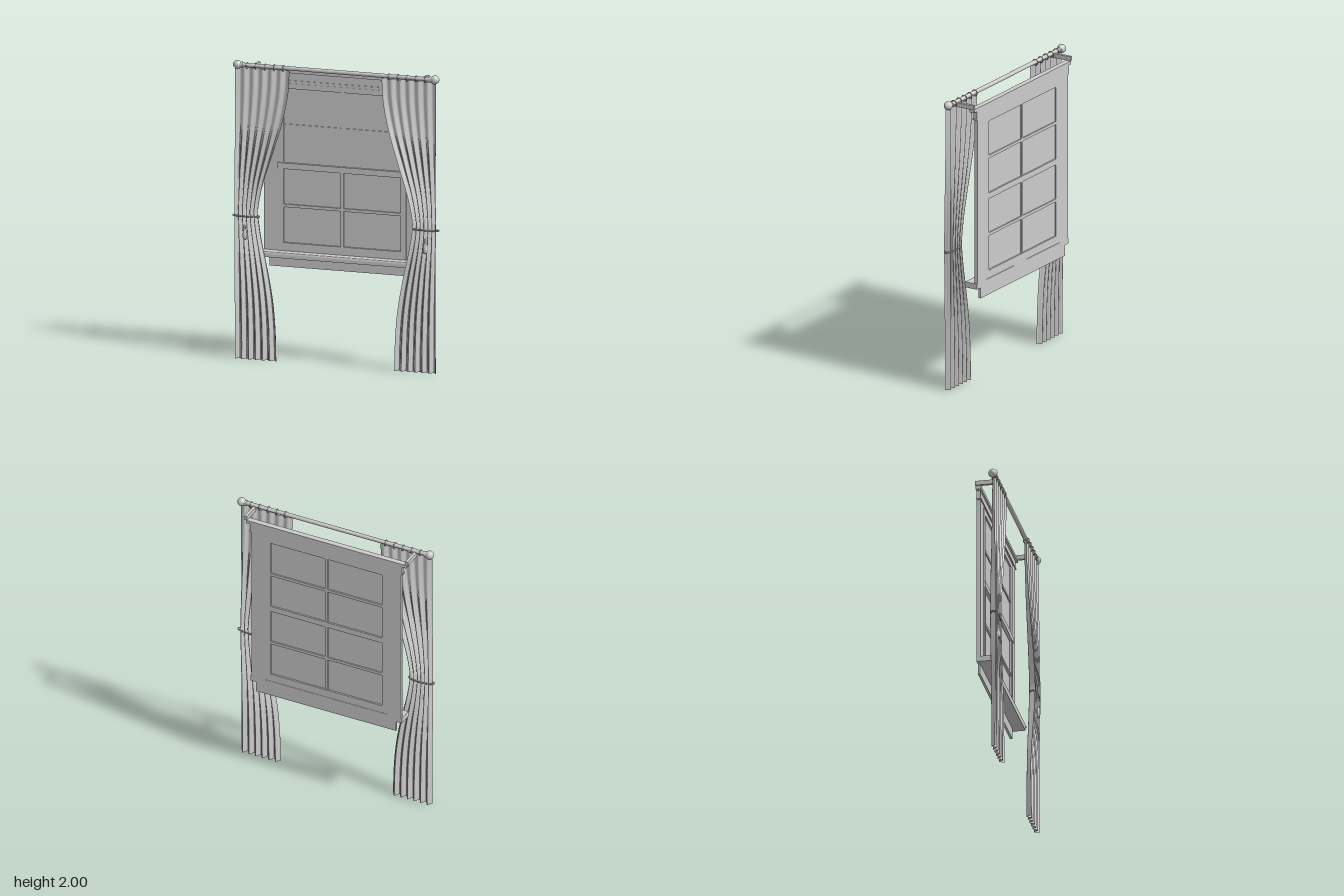
import * as THREE from 'three';

export function createModel() {
  const model = new THREE.Group();
  const grey = new THREE.MeshStandardMaterial({ color: 0xcccccc, side: THREE.DoubleSide });
  grey.name = 'plain grey';

  const add = (name, geometry, parent = model) => {
    const mesh = new THREE.Mesh(geometry, grey);
    mesh.name = name;
    parent.add(mesh);
    return mesh;
  };
  const group = (name) => {
    const g = new THREE.Group();
    g.name = name;
    model.add(g);
    return g;
  };
  // Box given by its limits on each axis
  const box = (name, x0, x1, y0, y1, z0, z1, parent) =>
    add(name, new THREE.BoxGeometry(x1 - x0, y1 - y0, z1 - z0)
      .translate((x0 + x1) / 2, (y0 + y1) / 2, (z0 + z1) / 2), parent);
  const lathe = (pts, segments) =>
    new THREE.LatheGeometry(pts.map(([r, y]) => new THREE.Vector2(r, y)), segments);

  const back = -0.088;

  // Casing, head and sill
  const surround = group('window surround');
  for (const s of [-1, 1]) {
    box('side casing', s > 0 ? 0.45 : -0.55, s > 0 ? 0.55 : -0.45, 0.72, 1.86, back, -0.062, surround);
  }
  box('top casing', -0.45, 0.45, 1.845, 1.86, back, -0.062, surround);
  box('head frieze', -0.56, 0.56, 1.86, 1.915, back, -0.062, surround);
  box('head cap', -0.59, 0.59, 1.915, 1.938, back, -0.05, surround);
  box('head bead', -0.565, 0.565, 1.855, 1.865, back, -0.057, surround);
  box('sill', -0.557, 0.557, 0.682, 0.72, back, 0.006, surround);
  const nose = new THREE.CylinderGeometry(0.019, 0.019, 1.114, 12, 1, false, 0, Math.PI);
  nose.rotateZ(Math.PI / 2).scale(1, 1, 0.4).translate(0, 0.701, 0.006);
  add('sill nose', nose, surround);
  box('apron', -0.515, 0.515, 0.61, 0.682, back, -0.072, surround);

  // Two sashes, each a frame with holes, a cross of glazing bars and a glass sheet
  const sash = (name, y0, y1, glass0, glass1, z0, z1) => {
    const g = group(name);
    const rect = (Type, w, a, b) => new Type([[-w, a], [w, a], [w, b], [-w, b]]
      .map(([x, y]) => new THREE.Vector2(x, y)));
    const frame = rect(THREE.Shape, 0.45, y0, y1);
    frame.holes.push(rect(THREE.Path, 0.41, glass0, glass1));
    add('sash frame', new THREE.ExtrudeGeometry(frame, { depth: z1 - z0, bevelEnabled: false })
      .translate(0, 0, z0), g);
    const mid = (glass0 + glass1) / 2;
    box('upright glazing bar', -0.01, 0.01, glass0, glass1, z0 + 0.002, z1 - 0.004, g);
    box('cross glazing bar', -0.41, 0.41, mid - 0.01, mid + 0.01, z0 + 0.002, z1 - 0.004, g);
    box('glass', -0.415, 0.415, glass0 - 0.005, glass1 + 0.005, -0.075, -0.071, g);
  };
  sash('upper sash', 1.29, 1.845, 1.31, 1.808, -0.086, -0.06);
  sash('lower sash', 0.72, 1.29, 0.775, 1.27, -0.086, -0.055);
  box('meeting rail', -0.45, 0.45, 1.27, 1.31, -0.086, -0.05);

  // Curtain rod with finials, rings and wall brackets
  const rodY = 1.97, rodZ = 0.051;
  add('curtain rod', new THREE.CylinderGeometry(0.014, 0.014, 1.34, 20)
    .rotateZ(Math.PI / 2).translate(0, rodY, rodZ));

  const finialProfile = [[0.014, 0.655], [0.02, 0.657], [0.02, 0.664], [0.016, 0.667],
    [0.025, 0.676], [0.03, 0.69], [0.028, 0.702], [0.02, 0.713], [0.009, 0.72], [0, 0.724]];

  // Inner edge of a curtain, from top to bottom
  const innerEdge = new THREE.SplineCurve([[0.323, 1.955], [0.332, 1.8], [0.373, 1.6],
    [0.435, 1.4], [0.5, 1.2], [0.535, 1.05], [0.541, 0.96], [0.515, 0.8], [0.47, 0.6],
    [0.435, 0.4], [0.418, 0.2], [0.413, 0]].map(([x, y]) => new THREE.Vector2(x, y)));
  const outerEdge = 0.704, folds = 6;

  const curtainGeometry = (s) => {
    const geo = new THREE.PlaneGeometry(1, 1, folds * 14, 55);
    const pos = geo.attributes.position;
    for (let i = 0; i < pos.count; i++) {
      const u = pos.getX(i) + 0.5;
      const across = s > 0 ? 1 - u : u;
      const edge = innerEdge.getPoint(0.5 - pos.getY(i));
      const width = outerEdge - edge.x;
      // Folds deepen where the cloth is gathered
      const depth = 0.03 - 0.05 * width;
      pos.setXYZ(i, s * (outerEdge - across * width), edge.y,
        0.053 + depth * Math.cos(across * folds * Math.PI * 2));
    }
    geo.computeVertexNormals();
    return geo;
  };

  const tasselProfile = [[0, 0.803], [0.009, 0.805], [0.014, 0.82], [0.015, 0.838],
    [0.011, 0.862], [0.006, 0.88], [0.008, 0.89], [0.005, 0.9], [0, 0.903]];

  for (const s of [-1, 1]) {
    const side = s > 0 ? 'left' : 'right';
    add(side + ' finial', lathe(finialProfile, 24).rotateZ(-s * Math.PI / 2).translate(0, rodY, rodZ));

    const bx = s * 0.592;
    box(side + ' bracket arm', bx - 0.01, bx + 0.01, 1.938, 1.968, back, 0.045);

    for (let i = 0; i < 6; i++) {
      add(side + ' curtain ring', new THREE.TorusGeometry(0.02, 0.003, 8, 24)
        .rotateY(Math.PI / 2).translate(s * (0.37 + i * 0.0635), rodY - 0.003, rodZ));
    }

    add(side + ' curtain', curtainGeometry(s));

    // Tieback loop and hanging tassel
    const loop = new THREE.EllipseCurve(0, 0, 0.092, 0.026).getPoints(40).slice(0, -1)
      .map((p) => new THREE.Vector3(s * 0.629 + p.x, 0.96, 0.055 + p.y));
    add(side + ' tieback', new THREE.TubeGeometry(
      new THREE.CatmullRomCurve3(loop, true), 64, 0.005, 8, true));
    add(side + ' tassel', lathe(tasselProfile, 16).translate(s * 0.632, 0, 0.074));
  }

  return model;
}
